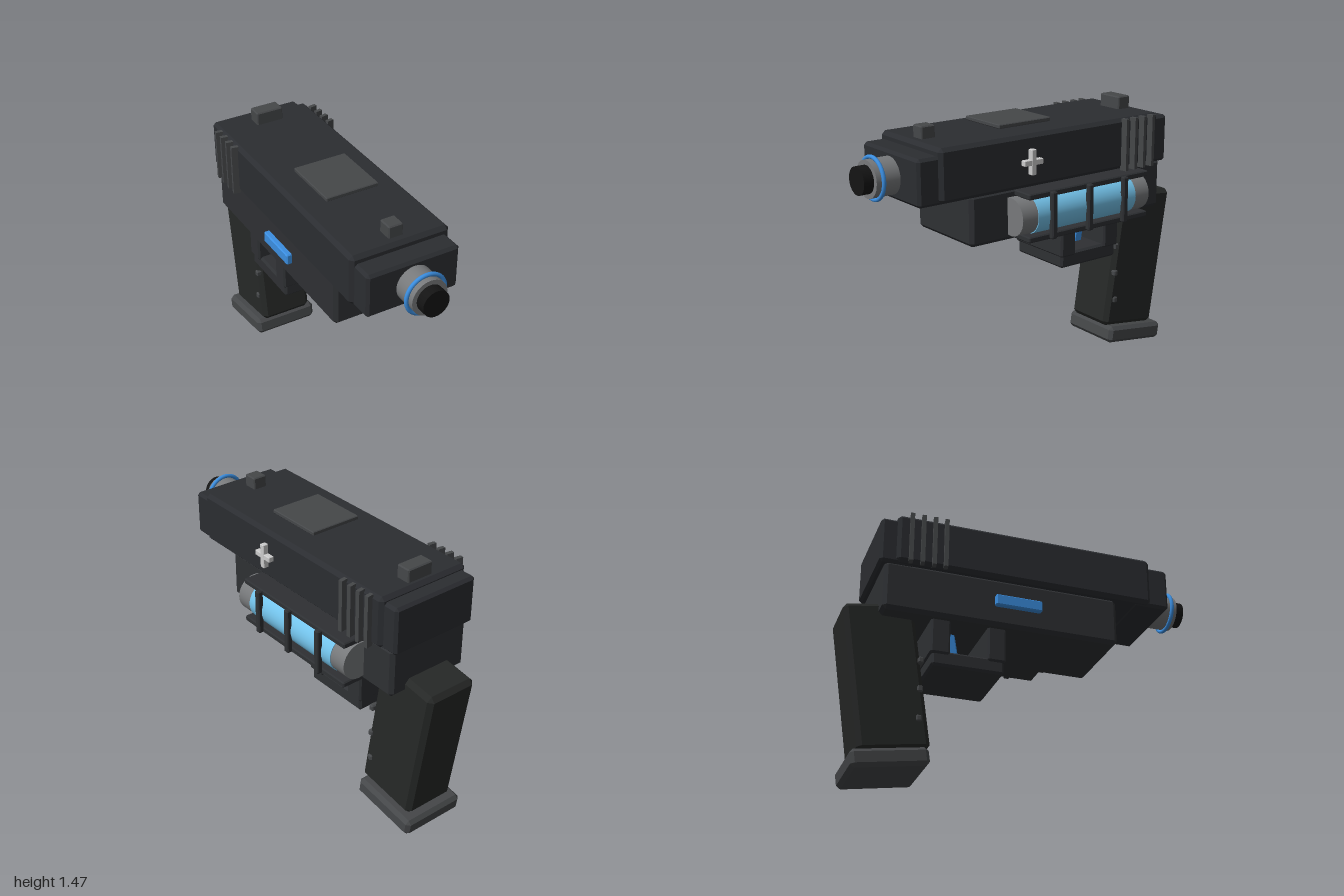
import * as THREE from 'three';
import { ConvexGeometry } from 'three/addons/geometries/ConvexGeometry.js';

const mat = (color) => new THREE.MeshStandardMaterial({ color });

// Box with flat chamfers on every edge
function chamferBox(w, h, d, c) {
  const pts = [];
  for (const x of [-1, 1]) for (const y of [-1, 1]) for (const z of [-1, 1]) {
    const X = w / 2, Y = h / 2, Z = d / 2;
    pts.push(
      new THREE.Vector3(x * X, y * (Y - c), z * (Z - c)),
      new THREE.Vector3(x * (X - c), y * Y, z * (Z - c)),
      new THREE.Vector3(x * (X - c), y * (Y - c), z * Z));
  }
  return new ConvexGeometry(pts);
}

export function createModel() {
  const model = new THREE.Group();
  model.name = 'toyBlaster';

  const body = mat(0x2b2d31), frame = mat(0x2e3033), gripMat = mat(0x262827);
  const trim = mat(0x454749), metal = mat(0x77797b), black = mat(0x141414);
  const blue = mat(0x3b8ee0), fluid = mat(0x74c4ec), white = mat(0xe4e6e6);
  const CX = -0.047; // centre line of the body

  const add = (name, geo, material, x, y, z, parent = model) => {
    const mesh = new THREE.Mesh(geo, material);
    mesh.name = name;
    mesh.position.set(x, y, z);
    parent.add(mesh);
    return mesh;
  };
  // Box given by its limits along each axis
  const box = (name, material, [x0, x1], [y0, y1], [z0, z1], c = 0.006) =>
    add(name, chamferBox(x1 - x0, y1 - y0, z1 - z0, c), material,
      (x0 + x1) / 2, (y0 + y1) / 2, (z0 + z1) / 2);
  // Cylinder lying along z
  const rod = (name, material, r, x, y, z0, z1) =>
    add(name, new THREE.CylinderGeometry(r, r, z1 - z0, 32).rotateX(Math.PI / 2),
      material, x, y, (z0 + z1) / 2);

  // Slide with its end blocks
  box('slide', body, [-0.325, 0.23], [1.13, 1.41], [-0.755, 0.695], 0.02);
  box('slideFront', body, [-0.305, 0.21], [1.125, 1.37], [0.6, 0.81], 0.015);
  box('slideRear', body, [-0.305, 0.21], [1.125, 1.385], [-0.84, -0.65], 0.015);

  // Grip ribs on both sides of the slide
  for (const side of [-1, 1]) for (let i = 0; i < 4; i++) {
    const rib = add('slideRib', new THREE.BoxGeometry(0.04, 0.285, 0.022), trim,
      CX + side * 0.291, 1.267, -0.495 - i * 0.063);
    rib.rotation.y = side * 0.15;
  }

  // Sights and top plate
  box('frontSight', trim, [-0.088, -0.007], [1.4, 1.475], [0.562, 0.645]);
  box('rearSight', trim, [-0.125, 0.03], [1.4, 1.48], [-0.72, -0.637]);
  box('topPlate', trim, [-0.197, 0.103], [1.427, 1.449], [-0.09, 0.245], 0.004);

  // Barrel
  rod('barrel', metal, 0.098, CX, 1.245, 0.78, 0.945);
  rod('muzzle', black, 0.073, CX, 1.245, 0.9, 1.0);
  add('muzzleRing', new THREE.TorusGeometry(0.108, 0.011, 10, 40), blue, CX, 1.245, 0.91);

  // Plus-shaped mark
  box('plusUpright', white, [0.225, 0.26], [1.2, 1.335], [0.125, 0.155], 0.003);
  box('plusCrossbar', white, [0.225, 0.259], [1.252, 1.282], [0.08, 0.2], 0.003);

  // Lower frame and side button
  box('frame', frame, [-0.295, 0.197], [0.86, 1.135], [-0.81, 0.495], 0.02);
  box('sideButton', blue, [-0.325, -0.28], [0.968, 1.03], [-0.21, 0.05]);

  // Fluid tank and its cage
  rod('tankCaps', metal, 0.102, 0.225, 0.993, -0.605, 0.265);
  rod('tankFluid', fluid, 0.106, 0.225, 0.993, -0.505, 0.165);
  for (const y of [0.88, 1.108])
    box('tankRail', frame, [0.18, 0.322], [y - 0.016, y + 0.016], [-0.6, 0.22]);
  for (const z of [-0.417, -0.172, 0.073])
    box('tankBar', frame, [0.318, 0.35], [0.868, 1.12], [z - 0.017, z + 0.017]);

  // Trigger guard and trigger
  box('guardFront', frame, [-0.253, 0.159], [0.67, 0.87], [-0.232, -0.13], 0.01);
  box('guardRear', frame, [-0.253, 0.159], [0.67, 0.87], [-0.54, -0.435], 0.01);
  box('guardBottom', frame, [-0.242, 0.148], [0.605, 0.69], [-0.53, -0.138], 0.012);
  const trigger = add('trigger', chamferBox(0.12, 0.25, 0.056, 0.008), blue, CX, 0.775, -0.384);
  trigger.rotation.x = -0.17;

  // Slanted grip with a base plate
  const grip = add('grip', chamferBox(0.305, 0.81, 0.375, 0.025), gripMat, CX, 0.535, -0.75);
  const base = add('gripBase', chamferBox(0.376, 0.097, 0.402, 0.02), trim, CX, 0.083, -0.717);
  grip.rotation.x = base.rotation.x = -0.15;
  for (const y of [0.315, 0.477, 0.638])
    box('gripRidge', trim, [-0.21, 0.116], [y - 0.017, y + 0.017], [-0.59, -0.56]);

  return model;
}
